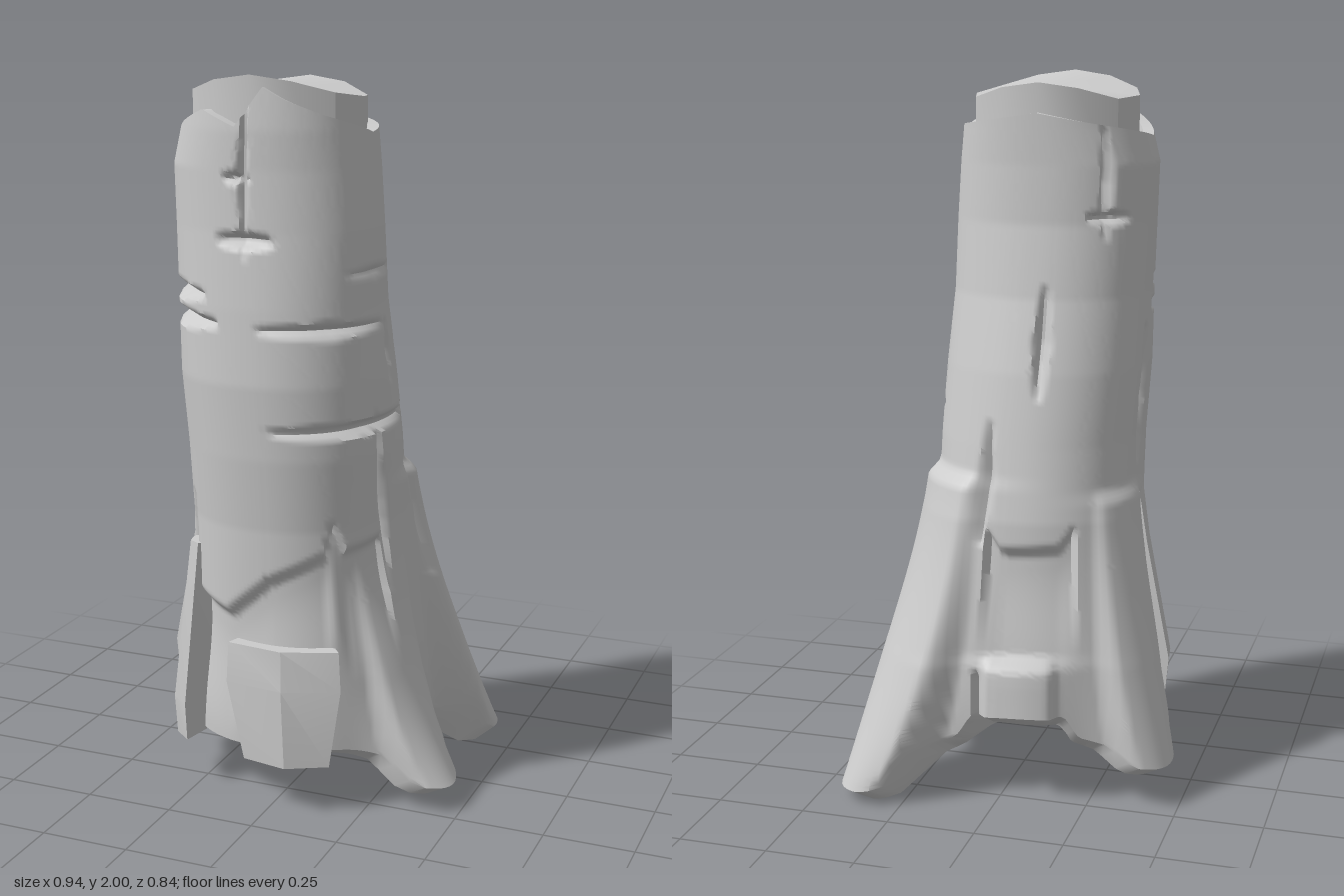
import * as THREE from 'three';
import { toCreasedNormals } from 'three/addons/utils/BufferGeometryUtils.js';

const { lerp, clamp, smoothstep, degToRad } = THREE.MathUtils;
const material = new THREE.MeshStandardMaterial({ color: 0xcccccc });
const SEGMENTS = 180, ROWS = 170;

// Trunk extents by height: y, xMin, xMax, zMin, zMax
const trunk = [
  [0.0, -0.34, 0.28, -0.28, 0.36], [0.4, -0.33, 0.27, -0.27, 0.37],
  [0.8, -0.32, 0.26, -0.235, 0.38], [1.0, -0.32, 0.26, -0.195, 0.40],
  [1.2, -0.33, 0.25, -0.155, 0.41], [1.4, -0.33, 0.235, -0.105, 0.40],
  [1.6, -0.335, 0.23, -0.075, 0.385], [1.76, -0.34, 0.22, -0.07, 0.38],
  [1.86, -0.315, 0.21, -0.07, 0.38], [2.0, -0.29, 0.20, -0.07, 0.37],
];

// Angles run from +x towards +z, in degrees.
const roots = [
  { angle: -44, wTop: 23, wLow: 8, top: 0.92, ampTop: 0.035, ampLow: 0.315, drop: 0.15, bend: 1.5 },
  { angle: 17, wTop: 18, wLow: 8.5, top: 0.95, ampTop: 0.0, ampLow: 0.26, drop: 0.10, bend: 2.7 },
  { angle: 208, wTop: 17, wLow: 9, top: 0.88, ampTop: 0.02, ampLow: 0.2, drop: 0.06, bend: 1.3 },
  { angle: 264, wTop: 15, wLow: 17, top: 0.43, ampTop: 0.04, ampLow: 0.08, drop: -0.1, bend: 1 },
];

// Heights around the trunk: broken rim of the bark, and lower edge of the bark
const rim = [[0, 1.85], [40, 1.9], [65, 1.94], [80, 1.97], [98, 1.87], [125, 1.91],
  [175, 1.83], [215, 1.86], [270, 1.9], [320, 1.87], [360, 1.85]];
const barkEdge = [[0, 0], [19, 0], [20, 0.78], [44, 0.76], [51, 0.85], [56, 0.75], [84, 0.68],
  [108, 0.57], [132, 0.6], [133, 0], [236, 0], [238, 0.8], [245, 0.75], [275, 0.74],
  [283, 0.8], [285, 0], [360, 0]];

// Cracks: start angle, y, end angle, y, half width, depth
const cracks = [
  [91, 1.95, 91, 1.53, 0.022, 0.035], [70, 1.58, 112, 1.58, 0.03, 0.04], [84, 1.74, 106, 1.74, 0.022, 0.03],
  [118, 1.43, 178, 1.43, 0.03, 0.045], [108, 1.36, 180, 1.36, 0.03, 0.045],
  [85, 1.35, 0, 1.35, 0.024, 0.03], [-3, 1.36, -3, 1.18, 0.02, 0.025], [32, 1.49, -18, 1.49, 0.02, 0.018],
  [82, 1.08, -30, 1.08, 0.026, 0.04], [17, 1.12, 17, 0.6, 0.022, 0.035], [-22, 1.28, -22, 0.58, 0.026, 0.04],
  [189, 1.32, 189, 0.93, 0.028, 0.03], [140, 0.87, 140, 0.53, 0.028, 0.035],
  [225, 1.87, 225, 1.56, 0.024, 0.035], [208, 1.62, 238, 1.62, 0.025, 0.035],
  [261, 1.44, 261, 1.13, 0.03, 0.04], [286, 1.07, 286, 0.73, 0.028, 0.035],
];

// Linear lookup of column k in a table whose first column rises
function lookup(table, v, k = 1) {
  let i = 1;
  while (i < table.length - 1 && table[i][0] < v) i++;
  const a = table[i - 1], b = table[i];
  return lerp(a[k], b[k], clamp((v - a[0]) / (b[0] - a[0]), 0, 1));
}
const angleGap = (a, b) => Math.abs(((a - b + 540) % 360 + 360) % 360 - 180);

// Centre and half sizes of the trunk at a height
function section(y) {
  const [x0, x1, z0, z1] = [1, 2, 3, 4].map((k) => lookup(trunk, y, k));
  return { cx: (x0 + x1) / 2, cz: (z0 + z1) / 2, rx: (x1 - x0) / 2, rz: (z1 - z0) / 2 };
}
// Slightly squared ellipse
function outlineRadius(a, y) {
  const { rx, rz } = section(y), p = 2.2;
  return (Math.abs(Math.cos(a) / rx) ** p + Math.abs(Math.sin(a) / rz) ** p) ** (-1 / p);
}

// Flat root panel with crisp edges, blended into the trunk by a wide skirt
function rootShape(gap, width) {
  const flat = 1 / Math.cos(degToRad(Math.min(gap, width)));
  return flat * (0.5 * (1 - smoothstep(gap, width * 0.85, width * 1.25)) + 0.5 * Math.exp(-((gap / (width * 1.5)) ** 2)));
}

// Spindle-shaped grooves, deepest in the middle
function crackDepth(deg, y) {
  let depth = 0;
  for (const [a0, y0, a1, y1, width, deep] of cracks) {
    const s = 0.0052;
    const dx = (a1 - a0) * s, dy = y1 - y0;
    const px = (((deg - a0 + 540) % 360) - 180) * s, py = y - y0;
    const t = clamp((px * dx + py * dy) / (dx * dx + dy * dy), 0, 1);
    const taper = 1 - Math.abs(2 * t - 1);
    const off = Math.hypot(px - t * dx, py - t * dy) / (width * (0.5 + 0.5 * taper));
    depth = Math.max(depth, deep * Math.sqrt(taper) * (1 - off));
  }
  return depth;
}

function barkRadius(deg, y) {
  let r = outlineRadius(degToRad(deg), y);
  for (const root of roots) {
    const t = clamp(1 - y / root.top, 0, 1);
    const amp = lerp(root.ampTop, root.ampLow, t ** root.bend);
    const start = 1 - smoothstep(y, root.top - 0.04, root.top + 0.01);
    r += amp * start * rootShape(angleGap(deg, root.angle), lerp(root.wTop, root.wLow, t ** 3));
  }
  // Worn band below the bark edge
  const edge = lookup(barkEdge, deg);
  if (edge > 0.3) r -= 0.028 * (1 - smoothstep(y, edge - 0.045, edge)) * smoothstep(y, edge - 0.4, edge - 0.08);
  return r - crackDepth(deg, y);
}

function lowerEdge(deg) {
  let y = 0.17;
  for (const root of roots) y -= root.drop * rootShape(angleGap(deg, root.angle), root.wLow * 1.4);
  return Math.max(y, 0.035);
}

function pointAt(deg, r, y, centreY = y) {
  const { cx, cz } = section(centreY), a = degToRad(deg);
  return new THREE.Vector3(cx + r * Math.cos(a), y, cz + r * Math.sin(a));
}

// Skin between closed rings, listed from top to bottom, with optional top cap
function loft(name, rings, crease, capTop = true) {
  const n = rings[0].length, pos = [], index = [];
  const add = (p) => pos.push(p.x, p.y, p.z) / 3 - 1;
  rings.forEach((ring) => ring.forEach(add));
  for (let k = 0; k < rings.length - 1; k++) {
    for (let i = 0; i < n; i++) {
      const j = (i + 1) % n, a = k * n, b = a + n;
      index.push(a + i, a + j, b + i, a + j, b + j, b + i);
    }
  }
  const middle = (ring) => ring.reduce((s, p) => s.add(p), new THREE.Vector3()).divideScalar(n);
  const last = (rings.length - 1) * n;
  const bottom = add(middle(rings[rings.length - 1]));
  const top = add(middle(rings[0]));
  for (let i = 0; i < n; i++) {
    const j = (i + 1) % n;
    index.push(bottom, last + i, last + j);
    if (capTop) index.push(top, j, i);
  }
  const geometry = new THREE.BufferGeometry();
  geometry.setAttribute('position', new THREE.Float32BufferAttribute(pos, 3));
  geometry.setIndex(index);
  const mesh = new THREE.Mesh(toCreasedNormals(geometry, crease), material);
  mesh.name = name;
  return mesh;
}

function makeBark() {
  const degrees = Array.from({ length: SEGMENTS }, (_, i) => (i * 360) / SEGMENTS);
  const ring = (f) => degrees.map(f);
  const rings = [];
  // Inside and top of the bark rim
  for (const [drop, inset] of [[0.12, 0.06], [0, 0.03]]) {
    rings.push(ring((d) => { const y = lookup(rim, d); return pointAt(d, barkRadius(d, y) - inset, y - drop, y); }));
  }
  // Level rows that bend to the rim above and to the root ends below
  for (let k = 0; k <= ROWS; k++) {
    const level = lerp(1.9, 0.17, k / ROWS);
    const up = clamp((level - 1.64) / 0.26, 0, 1), down = clamp((0.5 - level) / 0.33, 0, 1);
    rings.push(ring((d) => {
      const y = level + up * (lookup(rim, d) - 1.9) + down * (lowerEdge(d) - 0.17);
      return pointAt(d, barkRadius(d, y), y);
    }));
  }
  // Root ends and underside
  rings.push(ring((d) => { const y = lowerEdge(d); return pointAt(d, barkRadius(d, y) - 0.06, y - 0.035, y); }));
  rings.push(ring((d) => pointAt(d, 0.2, 0.18)));
  return loft('barkAndRoots', rings, 0.85, false);
}

// Bare wood standing above the bark
function makeCore() {
  const ring = (height) => Array.from({ length: 12 }, (_, i) => {
    const a = degToRad(i * 30);
    return pointAt(i * 30, outlineRadius(a, 1.9) - 0.022, height(a), 1.9);
  });
  const top = (a) => 2 - 0.06 * Math.cos(a) ** 2 - (Math.sin(a) < -0.1 ? 0.02 : 0);
  return loft('woodCore', [ring(top), ring(() => 1.7)], 0.6);
}

// Loose bark plate; each row gives y and the outer corners, left x, z, right x, z
function makePlate(name, bulge, rows) {
  const rings = rows.map(([y, xl, zl, xr, zr]) => {
    const inward = (x, z) => new THREE.Vector3(lerp(x, -0.03, 0.3), Math.max(y, 0.18), lerp(z, 0.06, 0.3));
    const out = (x, z) => new THREE.Vector3(x, y, z);
    const mid = out(lerp((xl + xr) / 2, -0.03, -bulge), lerp((zl + zr) / 2, 0.06, -bulge));
    return [out(xr, zr), mid, out(xl, zl), inward(xl, zl), inward(xr, zr)];
  });
  return loft(name, rings, 0.5);
}

export function createModel() {
  const group = new THREE.Group();
  group.name = 'treeStump';
  group.add(
    makeBark(),
    makeCore(),
    makePlate('frontPlate', 0.13, [[0.47, -0.12, 0.375, 0.19, 0.335], [0.36, -0.12, 0.39, 0.2, 0.345],
      [0.14, -0.07, 0.39, 0.17, 0.355]]),
    makePlate('sidePlate', 0.05, [[0.87, -0.32, 0.05, -0.29, 0.17], [0.7, -0.35, 0.04, -0.3, 0.2],
      [0.35, -0.42, 0.04, -0.36, 0.2], [0.14, -0.4, 0.05, -0.34, 0.2]]),
    makePlate('cornerPlate', 0.05, [[0.72, -0.28, 0.25, -0.24, 0.31], [0.25, -0.355, 0.23, -0.27, 0.35],
      [0.14, -0.345, 0.23, -0.27, 0.34]]),
  );
  return group;
}
